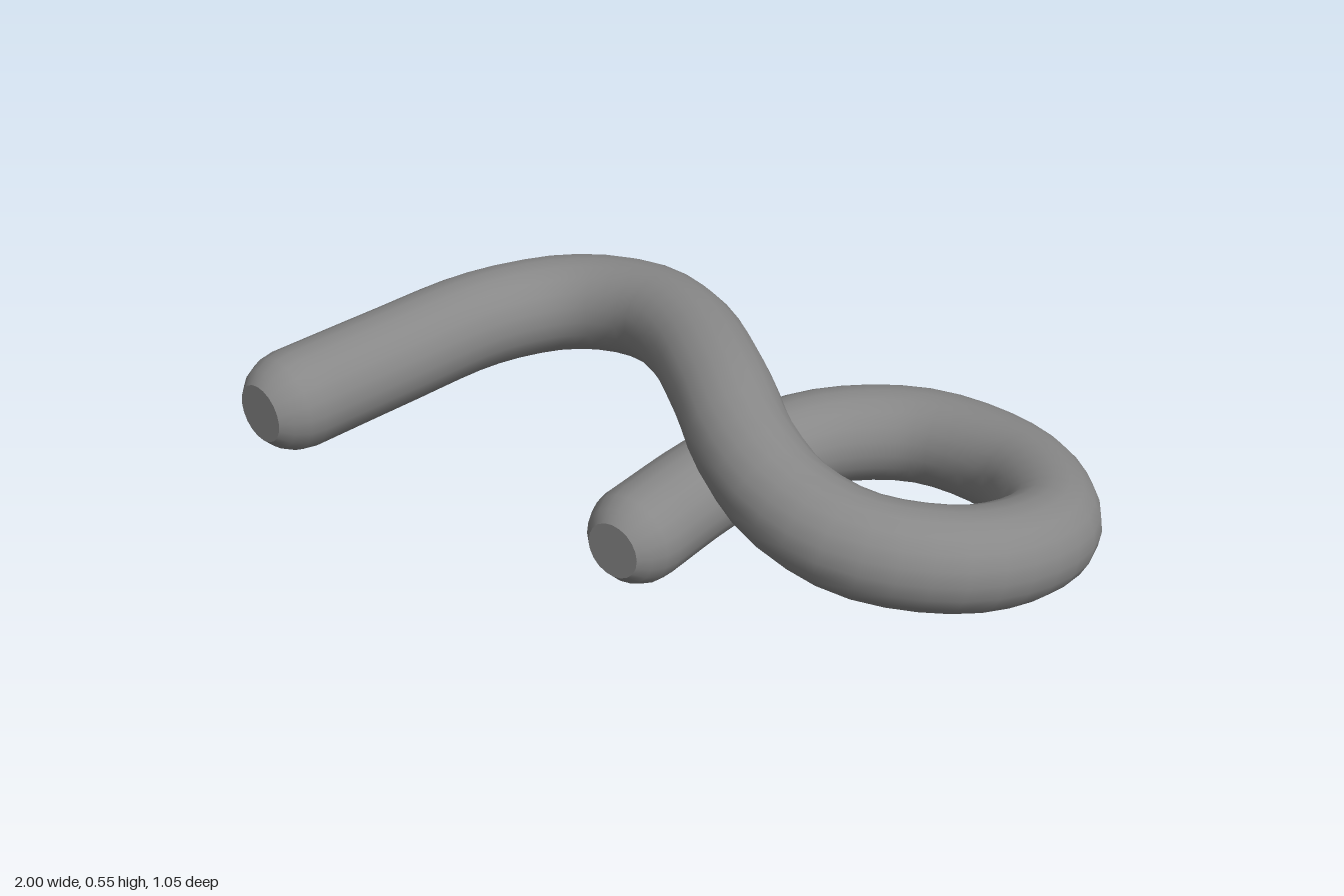
import * as THREE from 'three';

const RADIUS = 0.1235;
const SIDES = 20;
const STEPS = 64;

// Centre line from the raised end, over the hump and round the loop to the low end
const PATH = [
  [-0.877, 0.398, 0.4], [-0.764, 0.398, 0.14], [-0.65, 0.398, -0.11], [-0.56, 0.401, -0.215],
  [-0.47, 0.407, -0.272], [-0.36, 0.415, -0.294], [-0.22, 0.426, -0.265], [-0.075, 0.432, -0.155],
  [0.085, 0.415, 0.05], [0.2, 0.37, 0.205], [0.34, 0.315, 0.312], [0.52, 0.272, 0.353],
  [0.755, 0.222, 0.247], [0.875, 0.163, -0.02], [0.755, 0.133, -0.29], [0.48, 0.125, -0.407],
  [0.25, 0.125, -0.33], [0.11, 0.125, -0.17], [0.02, 0.125, 0.04], [-0.048, 0.125, 0.27],
].map((p) => new THREE.Vector3(...p));

// Ring of points round the centre line, kept upright
function ring(centre, tangent, radius) {
  const side = new THREE.Vector3(0, 1, 0).cross(tangent).normalize();
  const up = tangent.clone().cross(side);
  return Array.from({ length: SIDES }, (_, i) => {
    const a = (i / SIDES) * Math.PI * 2;
    return centre.clone()
      .addScaledVector(side, Math.cos(a) * radius)
      .addScaledVector(up, Math.sin(a) * radius);
  });
}

function loft(rings) {
  const geometry = new THREE.BufferGeometry().setFromPoints(rings.flat());
  const index = [];
  for (let r = 0; r < rings.length - 1; r++) {
    for (let i = 0; i < SIDES; i++) {
      const j = (i + 1) % SIDES;
      const a = r * SIDES + i, b = r * SIDES + j;
      index.push(a, b, a + SIDES, b, b + SIDES, a + SIDES);
    }
  }
  geometry.setIndex(index);
  geometry.computeVertexNormals();
  return geometry;
}

export function createModel() {
  const group = new THREE.Group();
  group.name = 'bentTube';
  const grey = new THREE.MeshStandardMaterial({ color: 0x888888 });
  grey.name = 'grey';

  const curve = new THREE.CatmullRomCurve3(PATH, false, 'centripetal');
  const rings = [];
  for (let s = 0; s <= STEPS; s++) {
    rings.push(ring(curve.getPointAt(s / STEPS), curve.getTangentAt(s / STEPS), RADIUS));
  }

  // Rounded ends, each finished by a small flat disc
  for (const [t, sign, name] of [[0, -1, 'raisedEndFace'], [1, 1, 'lowEndFace']]) {
    const centre = curve.getPointAt(t), tangent = curve.getTangentAt(t);
    const outward = tangent.clone().multiplyScalar(sign);
    for (const degrees of [72, 53, 36]) {
      const a = THREE.MathUtils.degToRad(degrees);
      const c = centre.clone().addScaledVector(outward, Math.cos(a) * RADIUS);
      const next = ring(c, tangent, Math.sin(a) * RADIUS);
      if (sign < 0) rings.unshift(next);
      else rings.push(next);
    }
    const a = THREE.MathUtils.degToRad(36);
    const face = new THREE.Mesh(new THREE.CircleGeometry(Math.sin(a) * RADIUS, SIDES), grey);
    face.name = name;
    face.position.copy(centre).addScaledVector(outward, Math.cos(a) * RADIUS);
    face.lookAt(face.position.clone().add(outward));
    group.add(face);
  }

  const tube = new THREE.Mesh(loft(rings), grey);
  tube.name = 'tube';
  group.add(tube);
  return group;
}
